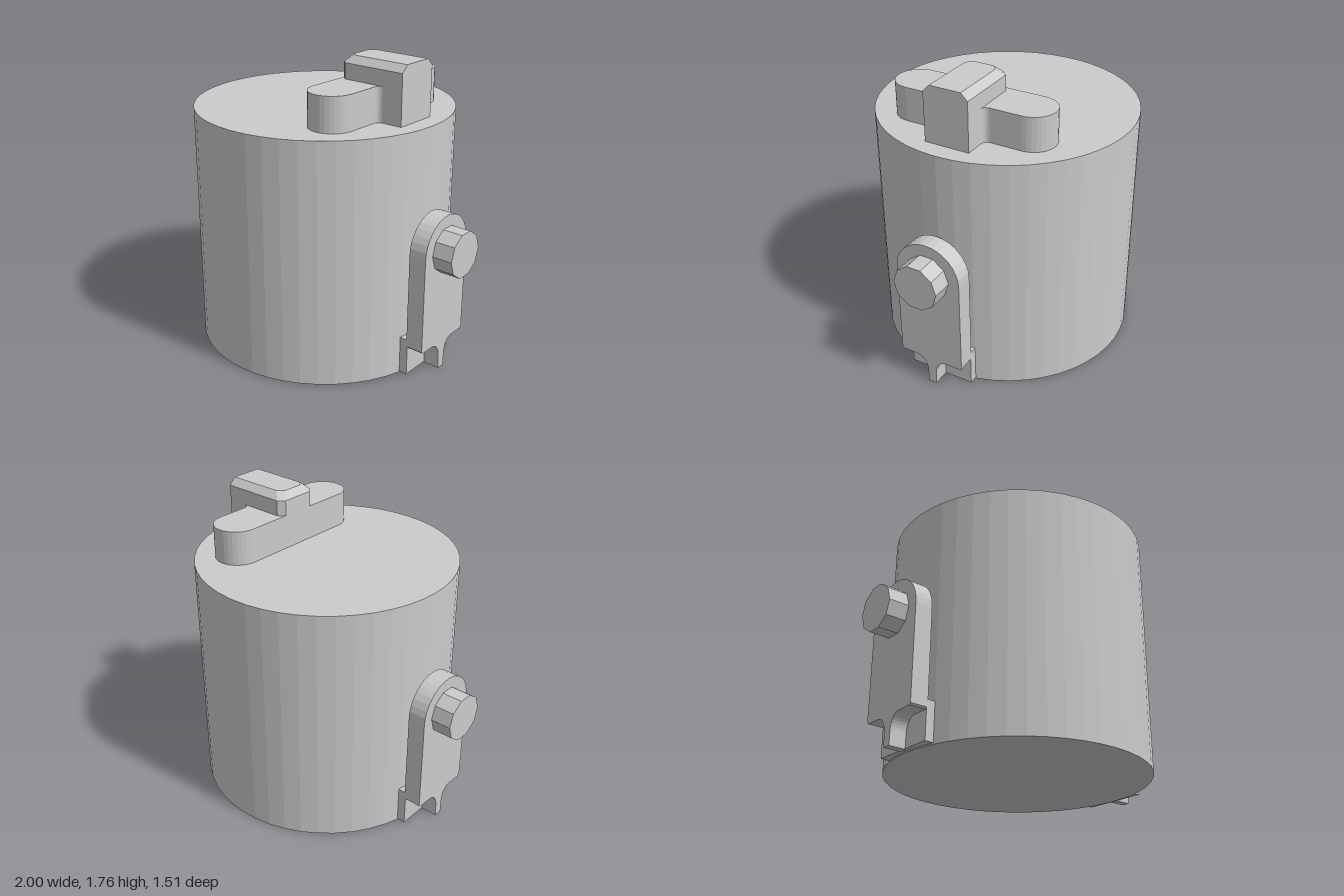
import * as THREE from 'three';
import { ConvexGeometry } from 'three/addons/geometries/ConvexGeometry.js';

const material = new THREE.MeshStandardMaterial({ color: 0xcccccc, flatShading: true });

function part(name, geometry) {
  const mesh = new THREE.Mesh(geometry, material);
  mesh.name = name;
  return mesh;
}

function extrude(shape, depth, curveSegments = 6) {
  return new THREE.ExtrudeGeometry(shape, { depth, curveSegments, bevelEnabled: false });
}

// Long rounded bar on the lid, with fillets where it meets the grip
function latchBase() {
  const x0 = 0.225, x1 = 0.49, r = (x1 - x0) / 2, cx = x0 + r, end = 0.49 - r;
  const s = new THREE.Shape();
  s.moveTo(x0, -end);
  s.absarc(cx, -end, r, Math.PI, Math.PI * 2, false);
  s.lineTo(x1, -0.175);
  s.quadraticCurveTo(x1, -0.135, 0.53, -0.135);
  s.lineTo(0.53, 0.135);
  s.quadraticCurveTo(x1, 0.135, x1, 0.175);
  s.lineTo(x1, end);
  s.absarc(cx, end, r, 0, Math.PI, false);
  s.closePath();
  const g = extrude(s, 0.2, 8);
  g.rotateX(-Math.PI / 2);
  g.translate(0, 1.43, 0);
  return part('latchBase', g);
}

// Block across the bar, chamfered on top and on its inner corners
function latchGrip() {
  const points = [];
  const section = (y, inset) => {
    const x0 = 0.225 + inset, x1 = 0.645, z = 0.135 - inset, c = 0.035;
    for (const side of [-1, 1]) {
      points.push(
        new THREE.Vector3(x1, y, side * z),
        new THREE.Vector3(x0 + c, y, side * z),
        new THREE.Vector3(x0, y, side * (z - c)));
    }
  };
  section(1.43, 0);
  section(1.72, 0);
  section(1.76, 0.04);
  return part('latchGrip', new ConvexGeometry(points));
}

// Round-topped side plate that narrows to a thin stem at the bottom
function sidePlate() {
  const s = new THREE.Shape();
  s.moveTo(0.025, 0.005);
  s.lineTo(0.027, 0.09);
  s.bezierCurveTo(0.03, 0.14, 0.06, 0.175, 0.1, 0.175);
  s.lineTo(0.19, 0.175);
  s.lineTo(0.2, 0.185);
  s.lineTo(0.2, 0.75);
  s.absarc(0, 0.75, 0.2, 0, Math.PI, false);
  s.lineTo(-0.2, 0.185);
  s.lineTo(-0.19, 0.175);
  s.lineTo(-0.1, 0.175);
  s.bezierCurveTo(-0.06, 0.175, -0.03, 0.14, -0.027, 0.09);
  s.lineTo(-0.025, 0.005);
  s.closePath();
  const g = extrude(s, 0.105, 8);
  g.rotateY(Math.PI / 2);
  g.translate(0.775, 0, 0);
  return part('sidePlate', g);
}

// Plate, backing foot and pin of one side
function sideArm(name) {
  const arm = new THREE.Group();
  arm.name = name;
  const foot = part('foot', new THREE.BoxGeometry(0.05, 0.22, 0.4));
  foot.position.set(0.757, 0.118, 0);
  const pin = part('pin', new THREE.CylinderGeometry(0.135, 0.135, 0.26, 10));
  pin.rotation.z = -Math.PI / 2;
  pin.position.set(0.87, 0.75, 0);
  arm.add(sidePlate(), foot, pin);
  return arm;
}

export function createModel() {
  const model = new THREE.Group();
  model.name = 'canister';

  const body = part('body', new THREE.CylinderGeometry(0.757, 0.757, 1.43, 48));
  body.position.y = 0.715;

  const leftArm = sideArm('leftArm');
  const rightArm = sideArm('rightArm');
  rightArm.rotation.y = Math.PI;

  model.add(body, latchBase(), latchGrip(), leftArm, rightArm);
  return model;
}
